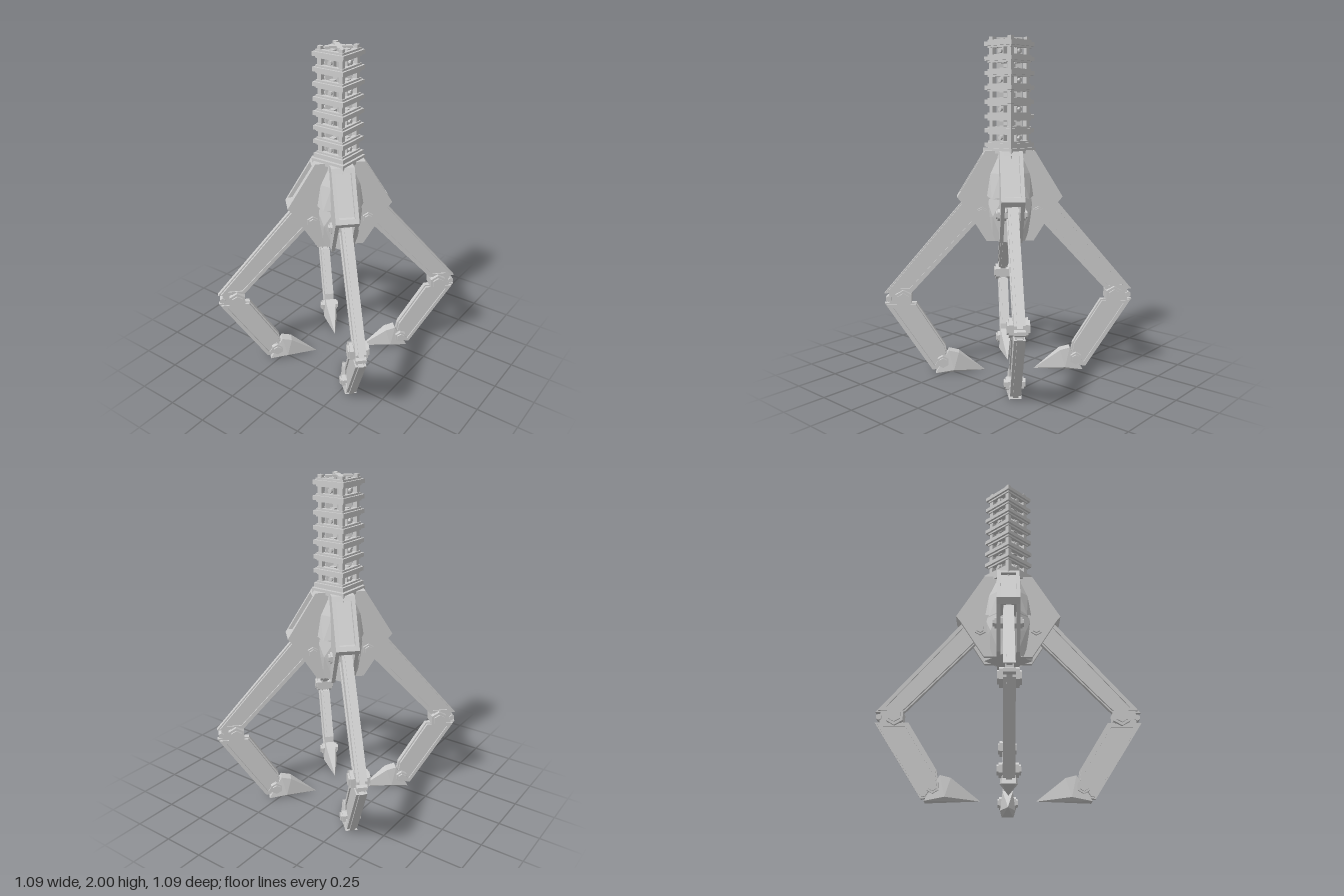
import * as THREE from 'three';
import { ConvexGeometry } from 'three/addons/geometries/ConvexGeometry.js';

const material = new THREE.MeshStandardMaterial({ color: 0xcccccc, flatShading: true });

function add(parent, name, geometry, x = 0, y = 0, z = 0) {
  const mesh = new THREE.Mesh(geometry, material);
  mesh.name = name;
  mesh.position.set(x, y, z);
  parent.add(mesh);
  return mesh;
}

// Moves every edge of a convex counter-clockwise outline inwards by d.
function inset(points, d) {
  const n = points.length;
  return points.map((p, i) => {
    const a = points[(i + n - 1) % n], b = points[(i + 1) % n];
    const u = new THREE.Vector2(p[0] - a[0], p[1] - a[1]).normalize();
    const v = new THREE.Vector2(b[0] - p[0], b[1] - p[1]).normalize();
    const k = d / (1 + u.dot(v));
    return [p[0] - (u.y + v.y) * k, p[1] + (u.x + v.x) * k];
  });
}

// Flat plate in the xy plane, centred on z, with an optional hole.
function plate(points, thickness, hole) {
  const toVectors = (list) => list.map(([x, y]) => new THREE.Vector2(x, y));
  const shape = new THREE.Shape(toVectors(points));
  if (hole) shape.holes.push(new THREE.Path(toVectors(hole)));
  const geometry = new THREE.ExtrudeGeometry(shape, { depth: thickness, bevelEnabled: false });
  return geometry.translate(0, 0, -thickness / 2);
}

// Arm slab: raised rim, recessed panel and a central rib around the edge.
function slab(parent, name, outline) {
  add(parent, name + 'Rim', plate(inset(outline, 0.008), 0.06, inset(outline, 0.028)));
  add(parent, name + 'Panel', plate(inset(outline, 0.015), 0.044));
  add(parent, name + 'EdgeRib', plate(outline, 0.03));
}

function hexBolt(parent, name, x, y, radius, length) {
  add(parent, name, new THREE.CylinderGeometry(radius, radius, length - 0.02, 6).rotateX(Math.PI / 2), x, y);
  add(parent, name + 'Cap', new THREE.CylinderGeometry(radius * 0.7, radius * 0.7, length, 6).rotateX(Math.PI / 2), x, y);
}

// Square frustum given by its half widths.
function frustum(top, bottom, height) {
  const s = Math.SQRT2;
  return new THREE.CylinderGeometry(top * s, bottom * s, height, 4).rotateY(Math.PI / 4);
}

function squareRing(outer, inner, height) {
  const square = (h) => [[-h, -h], [h, -h], [h, h], [-h, h]];
  return plate(square(outer), height, square(inner)).rotateX(Math.PI / 2);
}

const convex = (list) => new ConvexGeometry(list.map((p) => new THREE.Vector3(...p)));

// One arm, built along +x.
function createArm() {
  const arm = new THREE.Group();
  arm.name = 'arm';

  // Shoulder: two cheek plates around a recessed cover
  const cheek = [[0.02, 0.82], [0.14, 0.82], [0.285, 1.05], [0.31, 1.08], [0.145, 1.35], [0.02, 1.35]];
  for (const side of [-1, 1]) add(arm, 'shoulderCheek', plate(cheek, 0.022), 0, 0, side * 0.056);
  const cover = [[0.02, 1.05], [0.27, 1.05], [0.285, 1.08], [0.125, 1.335], [0.02, 1.335]];
  add(arm, 'shoulderCover', plate(cover, 0.1));
  add(arm, 'shoulderTopBar', plate([[0.10, 1.325], [0.16, 1.325], [0.145, 1.35], [0.10, 1.35]], 0.134));
  add(arm, 'shoulderBottomBar', plate([[0.25, 1.05], [0.285, 1.05], [0.31, 1.08], [0.295, 1.104], [0.25, 1.104]], 0.134));
  hexBolt(arm, 'shoulderBolt', 0.165, 0.99, 0.035, 0.18);

  // Upper and lower arm
  slab(arm, 'upperArm', [[0.59, 0.5], [0.75, 0.5], [0.26, 1.075], [0.13, 1.0], [0.19, 0.93], [0.565, 0.525]]);
  slab(arm, 'lowerArm', [[0.47, 0.015], [0.75, 0.44], [0.56, 0.44], [0.39, 0.17], [0.38, 0.11], [0.44, 0.02]]);

  // Elbow
  add(arm, 'elbowLink', new THREE.BoxGeometry(0.13, 0.09, 0.044), 0.655, 0.47);
  add(arm, 'elbowPin', new THREE.CylinderGeometry(0.018, 0.018, 0.06, 6).rotateX(Math.PI / 2), 0.725, 0.468);
  hexBolt(arm, 'elbowBolt', 0.635, 0.47, 0.054, 0.12);

  // Claw
  add(arm, 'claw', convex([
    [0.45, 0, 0.035], [0.45, 0, -0.035], [0.37, 0.14, 0.03], [0.37, 0.14, -0.03],
    [0.31, 0.125, 0.03], [0.31, 0.125, -0.03], [0.34, 0.02, 0.045], [0.34, 0.02, -0.045],
    [0.15, 0.004, 0],
  ]));
  hexBolt(arm, 'clawBolt', 0.405, 0.075, 0.038, 0.12);
  return arm;
}

// Faceted cover for one face of the hub, facing +z.
function createHubFace() {
  const face = new THREE.Group();
  face.name = 'hubFace';
  add(face, 'upperFacet', convex([
    [-0.05, 1.34, 0.09], [0.05, 1.34, 0.09], [-0.085, 1.1, 0.135], [0.085, 1.1, 0.135],
    [-0.04, 1.22, 0.128], [0.04, 1.22, 0.128], [0, 1.07, 0.155], [0, 1.2, 0.08],
  ]));
  add(face, 'lowerFacet', convex([
    [-0.06, 1.07, 0.135], [0.06, 1.07, 0.135], [0, 0.97, 0.148], [-0.08, 0.95, 0.115],
    [0.08, 0.95, 0.115], [-0.04, 0.82, 0.11], [0.04, 0.82, 0.11], [0, 1, 0.06],
  ]));
  return face;
}

function createNeck() {
  const neck = new THREE.Group();
  neck.name = 'neck';
  // Central cross-shaped spine
  for (const angle of [Math.PI / 4, -Math.PI / 4]) {
    add(neck, 'spineBlade', new THREE.BoxGeometry(0.15, 0.65, 0.03), 0, 1.675).rotation.y = angle;
  }
  add(neck, 'spineCore', new THREE.BoxGeometry(0.07, 0.63, 0.07), 0, 1.655);
  // Stacked vertebrae: a pair of square rings joined by posts
  for (let i = 0; i < 4; i++) {
    const y = 1.92 - i * 0.165;
    for (const side of [-1, 1]) {
      add(neck, 'vertebraRing', squareRing(0.103, 0.062, 0.024), 0, y + side * 0.042);
      add(neck, 'vertebraLip', squareRing(0.09, 0.062, 0.046), 0, y + side * 0.042);
    }
    for (let k = 0; k < 4; k++) {
      const side = new THREE.Group();
      side.name = 'vertebraSide';
      side.rotation.y = k * Math.PI / 2;
      add(side, 'cornerPost', new THREE.BoxGeometry(0.026, 0.165, 0.026), 0.07, y, 0.07);
      add(side, 'sideStrut', new THREE.BoxGeometry(0.032, 0.14, 0.03), 0, y, 0.055);
      add(side, 'sideBolt', new THREE.CylinderGeometry(0.013, 0.013, 0.02, 8).rotateX(Math.PI / 2), 0, y, 0.076);
      neck.add(side);
    }
  }
  return neck;
}

export function createModel() {
  const model = new THREE.Group();
  model.name = 'grabberClaw';

  // Hub
  add(model, 'hubTop', frustum(0.095, 0.13, 0.27), 0, 1.215);
  add(model, 'hubBottom', frustum(0.13, 0.1, 0.26), 0, 0.95);
  add(model, 'hubCollar', squareRing(0.11, 0.07, 0.03), 0, 1.35);

  for (let i = 0; i < 4; i++) {
    const face = createHubFace();
    face.rotation.y = i * Math.PI / 2;
    const arm = createArm();
    arm.rotation.y = Math.PI / 4 + i * Math.PI / 2;
    model.add(face, arm);
  }
  model.add(createNeck());
  return model;
}
